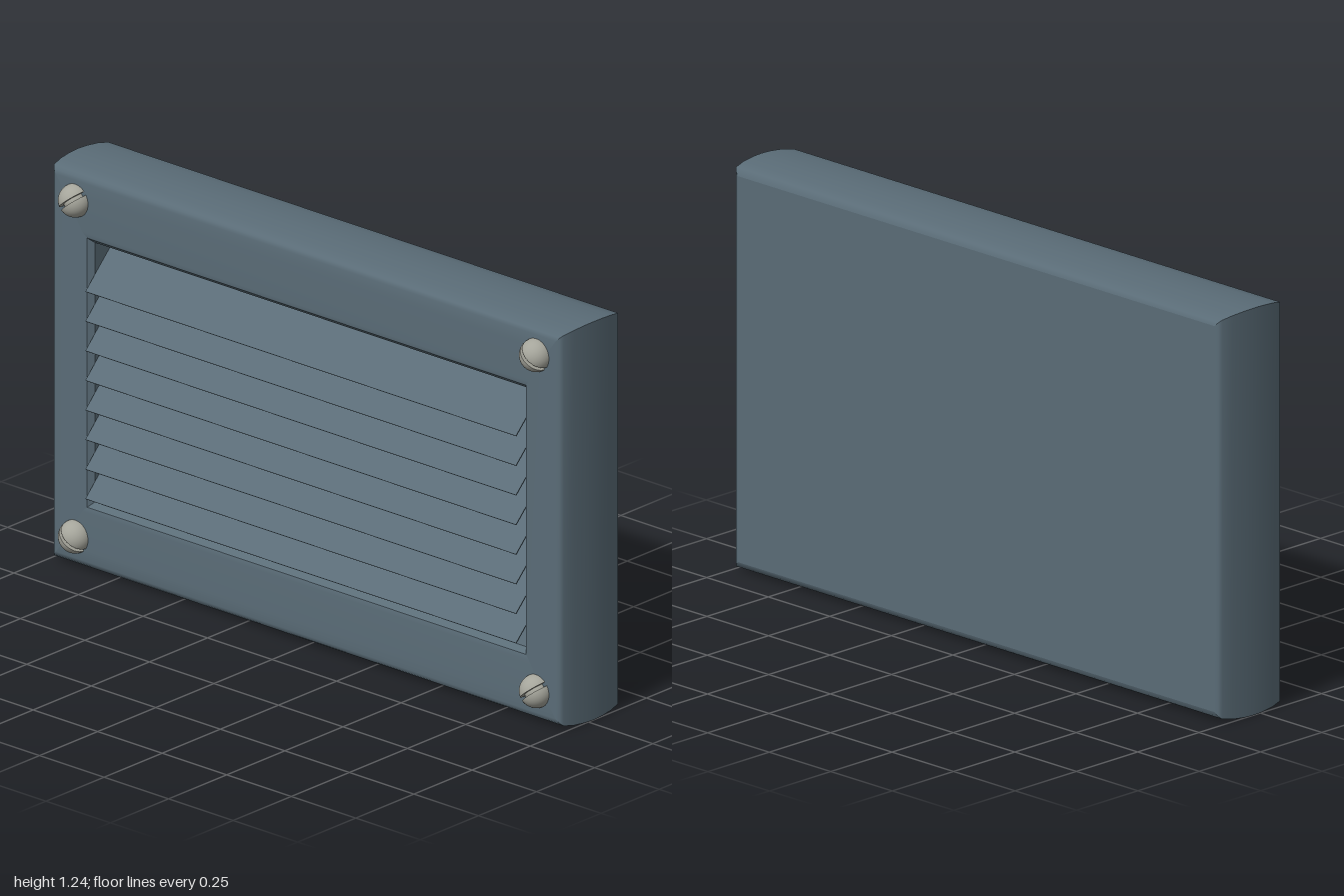
import * as THREE from 'three';

const HX = 1, HY = 0.6175, CY = 0.6175;

// One mitred rail of the frame, swept between two neighbouring corners.
// Profile rows: [inset in x, inset in y, z], running back, outside, front, inside.
function railGeometry(profile, [ax, ay], [bx, by]) {
  const pos = [], index = [];
  profile.forEach(([dx, dy, z], i) => {
    pos.push(ax * (HX - dx), CY + ay * (HY - dy), z);
    pos.push(bx * (HX - dx), CY + by * (HY - dy), z);
    if (i) {
      const a = 2 * i - 2;
      index.push(a, a + 1, a + 2, a + 1, a + 3, a + 2);
    }
  });
  const g = new THREE.BufferGeometry();
  g.setAttribute('position', new THREE.Float32BufferAttribute(pos, 3));
  g.setIndex(index);
  g.computeVertexNormals();
  return g;
}

// Round screw head made of two dome halves on either side of a slot.
function makeScrew(material) {
  const screw = new THREE.Group();
  const r = 0.05, half = 0.006;
  const dome = new THREE.SphereGeometry(r, 32, 16, 0, Math.PI * 2, 0, Math.acos(half / r));
  const wall = new THREE.CircleGeometry(Math.sqrt(r * r - half * half), 32);
  wall.rotateX(Math.PI / 2).translate(0, half, 0);
  for (const turn of [0, Math.PI]) {
    const side = new THREE.Group();
    side.name = 'screwHalf';
    side.add(new THREE.Mesh(dome, material), new THREE.Mesh(wall, material));
    side.children[0].name = 'screwDome';
    side.children[1].name = 'slotWall';
    side.rotation.z = turn;
    screw.add(side);
  }
  const floor = new THREE.Mesh(new THREE.SphereGeometry(0.036, 24, 16), material);
  floor.name = 'slotFloor';
  screw.add(floor);
  return screw;
}

export function createModel() {
  const model = new THREE.Group();
  model.name = 'louvredVent';
  const paint = new THREE.MeshStandardMaterial({ color: 0x5a6c77 });
  paint.name = 'slateBluePaint';
  const metal = new THREE.MeshStandardMaterial({ color: 0xa5a59b });
  metal.name = 'screwMetal';

  // Frame: softly bulged outside, bevelled opening, deep inner walls
  const outer = [
    [0.032, -0.155], [0.02, -0.151], [0.012, -0.142], [0.005, -0.105], [0.001, -0.06],
    [0, -0.025], [0.001, 0.01], [0.005, 0.055], [0.012, 0.092], [0.02, 0.101], [0.032, 0.105],
  ].map(([d, z]) => [d, d, z]);
  const front = [[0.06, 0.07, 0.106], [0.135, 0.185, 0.105], [0.15, 0.2, 0.102]];
  const inner = [[0.15, 0.2, 0.102], [0.165, 0.215, 0.085]];
  const walls = [[0.165, 0.215, 0.085], [0.165, 0.215, -0.15]];
  const corners = [[-1, -1], [1, -1], [1, 1], [-1, 1]];
  const names = ['bottomRail', 'leftRail', 'topRail', 'rightRail'];
  names.forEach((name, i) => {
    const rail = new THREE.Group();
    rail.name = name;
    for (const profile of [[...outer, ...front], inner, walls]) {
      const face = new THREE.Mesh(railGeometry(profile, corners[i], corners[(i + 1) % 4]), paint);
      face.name = name + 'Face';
      rail.add(face);
    }
    model.add(rail);
  });

  // Flat closed back
  const back = new THREE.Mesh(new THREE.BoxGeometry(2 * HX - 0.064, 2 * HY - 0.064, 0.01), paint);
  back.name = 'backPanel';
  back.position.set(0, CY, -0.15);
  model.add(back);

  // Eight louvre slats sloping down and forward at 45 degrees
  const length = 0.2, tipZ = 0.126;
  const slatGeometry = new THREE.BoxGeometry(1.668, length, 0.003);
  slatGeometry.translate(0, length / 2, 0);
  for (let i = 0; i < 8; i++) {
    const slat = new THREE.Mesh(slatGeometry, paint);
    slat.name = 'slat';
    slat.position.set(0, 0.237 + i * 0.0918, tipZ);
    slat.rotation.x = -Math.PI / 4;
    model.add(slat);
  }

  // Four slotted corner screws
  for (const sx of [-1, 1]) {
    for (const sy of [-1, 1]) {
      const screw = makeScrew(metal);
      screw.name = 'cornerScrew';
      screw.position.set(sx * 0.893, CY + 0.003 + sy * 0.521, 0.105);
      screw.rotation.z = -sx * sy * 0.7;
      model.add(screw);
    }
  }
  return model;
}
